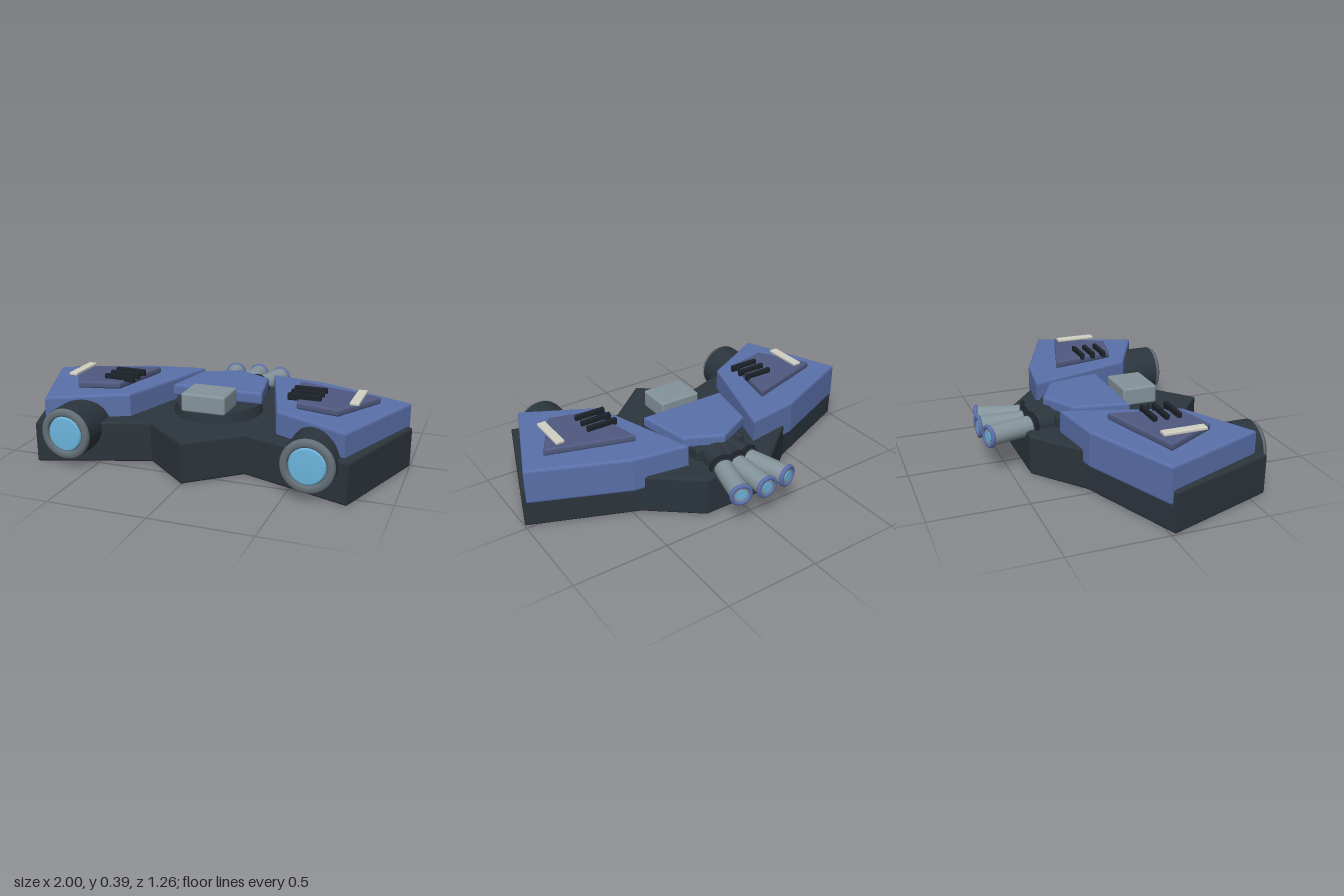
import * as THREE from 'three';
import { RoundedBoxGeometry } from 'three/addons/geometries/RoundedBoxGeometry.js';

const mat = (color) => new THREE.MeshStandardMaterial({ color });
const dark = mat(0x2c353d), blue = mat(0x5a70aa), slate = mat(0x505a80), steel = mat(0x84949b);
const cream = mat(0xd0d0c4), glass = mat(0x6cb4dc), black = mat(0x1c2228);

function add(parent, name, geometry, material, x = 0, y = 0, z = 0) {
  const mesh = new THREE.Mesh(geometry, material);
  mesh.name = name;
  mesh.position.set(x, y, z);
  parent.add(mesh);
  return mesh;
}

// Bevelled slab from an [x, z] outline, between heights y0 and y1
function slab(points, y0, y1, bevel) {
  const shape = new THREE.Shape(points.map(([x, z]) => new THREE.Vector2(x, -z)));
  const geometry = new THREE.ExtrudeGeometry(shape, {
    depth: y1 - y0 - 2 * bevel, bevelEnabled: true, bevelSize: bevel,
    bevelThickness: bevel, bevelOffset: -bevel, bevelSegments: 3,
  });
  return geometry.rotateX(-Math.PI / 2).translate(0, y0 + bevel, 0);
}

// Outline mirrored across x = 0; the half runs from the front to the back
const mirrored = (half) => [...half, ...half.filter(([x]) => x > 0).reverse().map(([x, z]) => [-x, z])];

const box = (w, h, d, r) => new RoundedBoxGeometry(w, h, d, 3, r);

// Round part turned about the z axis from [radius, z] points
function turned(profile) {
  const pts = profile.map(([r, z]) => new THREE.Vector2(r, z));
  return new THREE.LatheGeometry(pts, 40).rotateX(Math.PI / 2);
}

function headlight() {
  const g = new THREE.Group();
  g.name = 'headlight';
  add(g, 'headlightHousing', new THREE.CylinderGeometry(0.132, 0.132, 0.33, 40).rotateX(Math.PI / 2), dark, 0, 0, -0.18);
  add(g, 'headlightRim', turned([[0.13, -0.02], [0.13, -0.004], [0.122, 0.008], [0.1, 0.008], [0.092, 0], [0.092, -0.02]]), steel)
    .material = mat(0x667078);
  add(g, 'headlightLens', turned([[0.094, -0.02], [0.088, 0], [0.08, 0.005], [0, 0.005]]), glass);
  return g;
}

function exhaustPipe() {
  const g = new THREE.Group();
  g.name = 'exhaustPipe';
  add(g, 'pipeSleeve', new THREE.CylinderGeometry(0.06, 0.078, 0.13, 24).rotateX(-Math.PI / 2), dark, 0, 0, -0.065);
  add(g, 'sleeveBand', new THREE.TorusGeometry(0.062, 0.012, 10, 32), black, 0, 0, -0.115);
  add(g, 'pipeTube', new THREE.CylinderGeometry(0.052, 0.052, 0.27, 32).rotateX(Math.PI / 2), steel, 0, 0, -0.225);
  add(g, 'pipeLip', new THREE.TorusGeometry(0.049, 0.011, 12, 36), blue, 0, 0, -0.362);
  add(g, 'pipeInner', new THREE.CylinderGeometry(0.046, 0.046, 0.01, 32).rotateX(Math.PI / 2), steel, 0, 0, -0.36);
  add(g, 'pipeGlow', new THREE.CylinderGeometry(0.027, 0.027, 0.01, 32).rotateX(Math.PI / 2), glass, 0, 0, -0.364);
  return g;
}

export function createModel() {
  const model = new THREE.Group();
  model.name = 'hoverCraft';

  // Lower hull
  add(model, 'hull', slab(mirrored([
    [0, 0.615], [0.25, 0.4], [0.8, 0.59], [1, 0.02], [0.46, -0.2], [0.2, -0.41],
  ]), 0, 0.213, 0.012), dark);

  // Armour and fittings on each wing
  for (const s of [1, -1]) {
    const side = new THREE.Group();
    side.name = s > 0 ? 'leftWing' : 'rightWing';
    const flip = (pts) => pts.map(([x, z]) => [s * x, z]);
    add(side, 'wingArmour', slab(flip([[0.985, 0], [0.77, 0.54], [0.39, 0.34], [0.205, -0.25], [0.5, -0.205]]), 0.14, 0.332, 0.014), blue);
    add(side, 'wingPlate', slab(flip([[0.845, 0.065], [0.69, 0.335], [0.475, 0.285], [0.4, -0.07]].reverse()), 0.33, 0.368, 0.012), slate);
    for (const z of [0.1, 0.165, 0.23]) add(side, 'ventBar', box(0.168, 0.035, 0.022, 0.004), black, s * 0.5, 0.376, z);
    add(side, 'markerBar', box(0.046, 0.016, 0.222, 0.004), cream, s * 0.753, 0.384, 0.166);
    const lamp = headlight();
    lamp.position.set(s * 0.617, 0.18, 0.62);
    side.add(lamp);
    model.add(side);
  }

  // Central turntable, hood and sensor box
  add(model, 'turntable', new THREE.CylinderGeometry(0.225, 0.235, 0.065, 48), dark, 0, 0.235, 0.085);
  add(model, 'hood', slab(mirrored([[0.245, 0.112], [0.195, -0.175], [0, -0.275]]), 0.27, 0.335, 0.014), blue);
  add(model, 'hoodSupport', box(0.3, 0.08, 0.3, 0.02), dark, 0, 0.24, -0.1);
  add(model, 'sensorBox', box(0.234, 0.098, 0.19, 0.012), steel, 0, 0.311, 0.227);

  // Fan of three exhaust pipes
  for (const i of [-1, 0, 1]) {
    const pipe = exhaustPipe();
    pipe.position.set(i * 0.045, 0.217, i ? -0.255 : -0.26);
    pipe.rotation.y = -i * 0.27;
    model.add(pipe);
  }
  return model;
}
